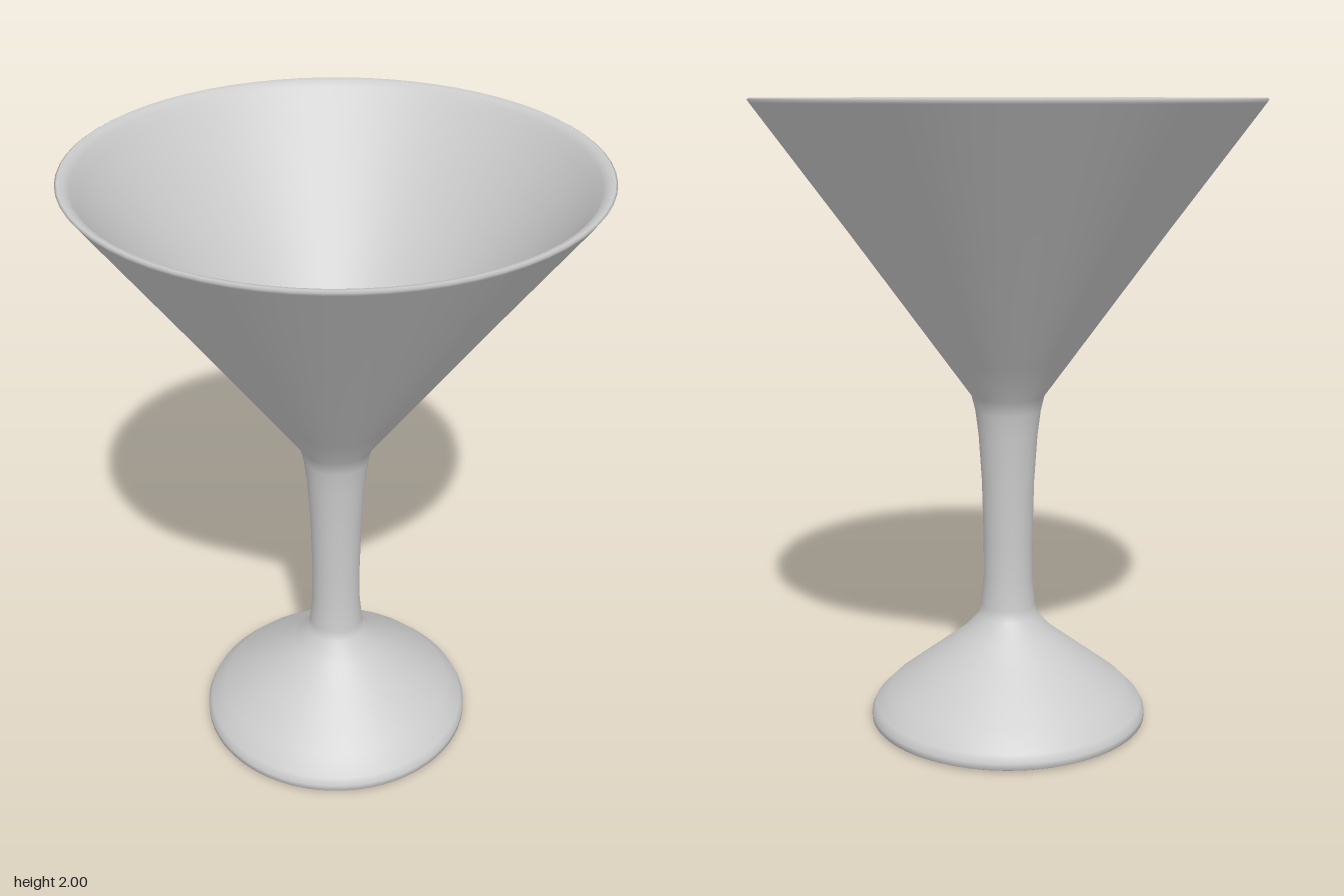
import * as THREE from 'three';

export function createModel() {
  const group = new THREE.Group();
  group.name = 'cocktailGlass';
  const material = new THREE.MeshStandardMaterial({ color: 0xcccccc });

  // One closed profile [radius, height], from the hollow underside round to the bowl floor
  const hollowUnderside = [[0, 0.28], [0.1, 0.27], [0.2, 0.21], [0.33, 0.11], [0.4, 0.045], [0.425, 0.01]];
  const foot = [[0.436, 0.003], [0.449, 0.01], [0.449, 0.03], [0.437, 0.055], [0.385, 0.108], [0.26, 0.205], [0.15, 0.29], [0.095, 0.35]];
  const stem = [[0.088, 0.385], [0.079, 0.48], [0.079, 0.6], [0.084, 0.8], [0.094, 0.95], [0.104, 1.03], [0.116, 1.08]];
  const bowlOutside = [[0.2, 1.196], [0.492, 1.6], [0.775, 1.985]];
  const rim = [[0.782, 1.996], [0.775, 2], [0.758, 1.996], [0.742, 1.982]];
  const bowlInside = [[0.72, 1.95], [0.46, 1.6], [0.17, 1.21], [0.1, 1.125], [0, 1.11]];

  const profile = [...hollowUnderside, ...foot, ...stem, ...bowlOutside, ...rim, ...bowlInside]
    .map(([r, y]) => new THREE.Vector2(r, y));

  const glass = new THREE.Mesh(new THREE.LatheGeometry(profile, 64), material);
  glass.name = 'glass';
  group.add(glass);
  return group;
}
